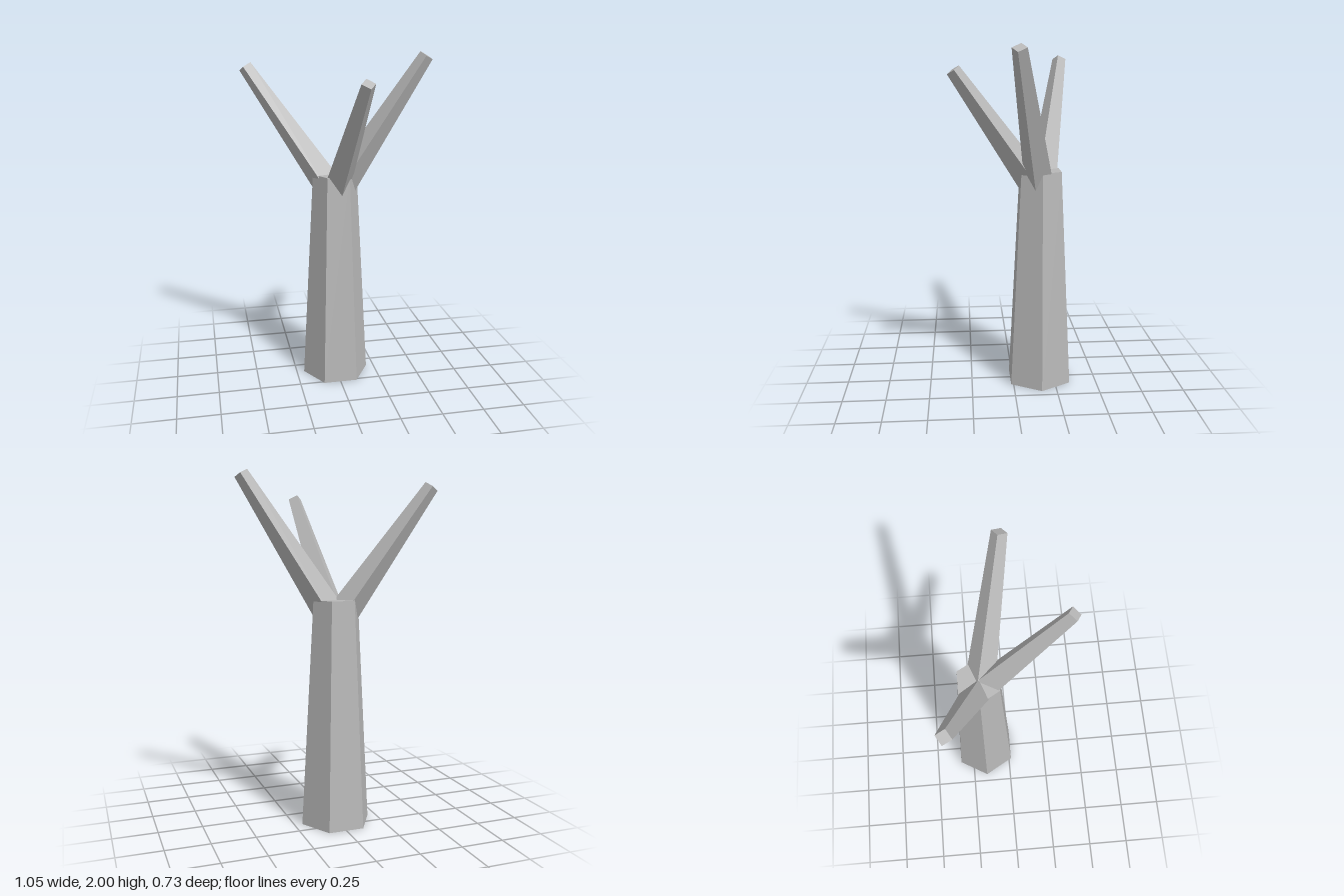
import * as THREE from 'three';

const TRUNK_Z = -0.162;
const TRUNK_TOP = 1.29;

// Tapered four-sided branch from the trunk axis to its tip, one edge facing up
function makeBranch(name, tip, material) {
  const base = new THREE.Vector3(0, 1.155, TRUNK_Z);
  const dir = tip.clone().sub(base);
  const length = dir.length();
  dir.normalize();
  const side = new THREE.Vector3().crossVectors(dir, new THREE.Vector3(0, 1, 0)).normalize();
  const ridge = new THREE.Vector3().crossVectors(side, dir);
  const geometry = new THREE.CylinderGeometry(0.041, 0.09, length, 4);
  geometry.translate(0, length / 2, 0);
  geometry.applyMatrix4(new THREE.Matrix4().makeBasis(
    new THREE.Vector3().crossVectors(dir, ridge), dir, ridge));
  const mesh = new THREE.Mesh(geometry, material);
  mesh.position.copy(base);
  mesh.name = name;
  return mesh;
}

export function createModel() {
  const model = new THREE.Group();
  model.name = 'bareTree';
  const bark = new THREE.MeshStandardMaterial({
    color: 0xb8b8b8, flatShading: true, side: THREE.DoubleSide,
  });
  bark.name = 'grey bark';

  // Hexagonal trunk, open underneath
  const trunk = new THREE.Mesh(
    new THREE.CylinderGeometry(0.133, 0.204, TRUNK_TOP, 6, 1, true, Math.PI / 2), bark);
  trunk.name = 'trunk';
  trunk.position.set(0, TRUNK_TOP / 2, TRUNK_Z);
  model.add(trunk);

  // Flat top of the trunk
  const top = new THREE.Mesh(new THREE.CircleGeometry(0.133, 6).rotateX(-Math.PI / 2), bark);
  top.name = 'trunkTop';
  top.position.set(0, TRUNK_TOP, TRUNK_Z);
  model.add(top);

  // Three branches
  const tips = {
    leftBranch: [0.492, 1.98, 0],
    rightBranch: [-0.497, 1.91, -0.328],
    frontBranch: [0.081, 1.862, 0.331],
  };
  for (const [name, tip] of Object.entries(tips)) {
    model.add(makeBranch(name, new THREE.Vector3(...tip), bark));
  }
  return model;
}
